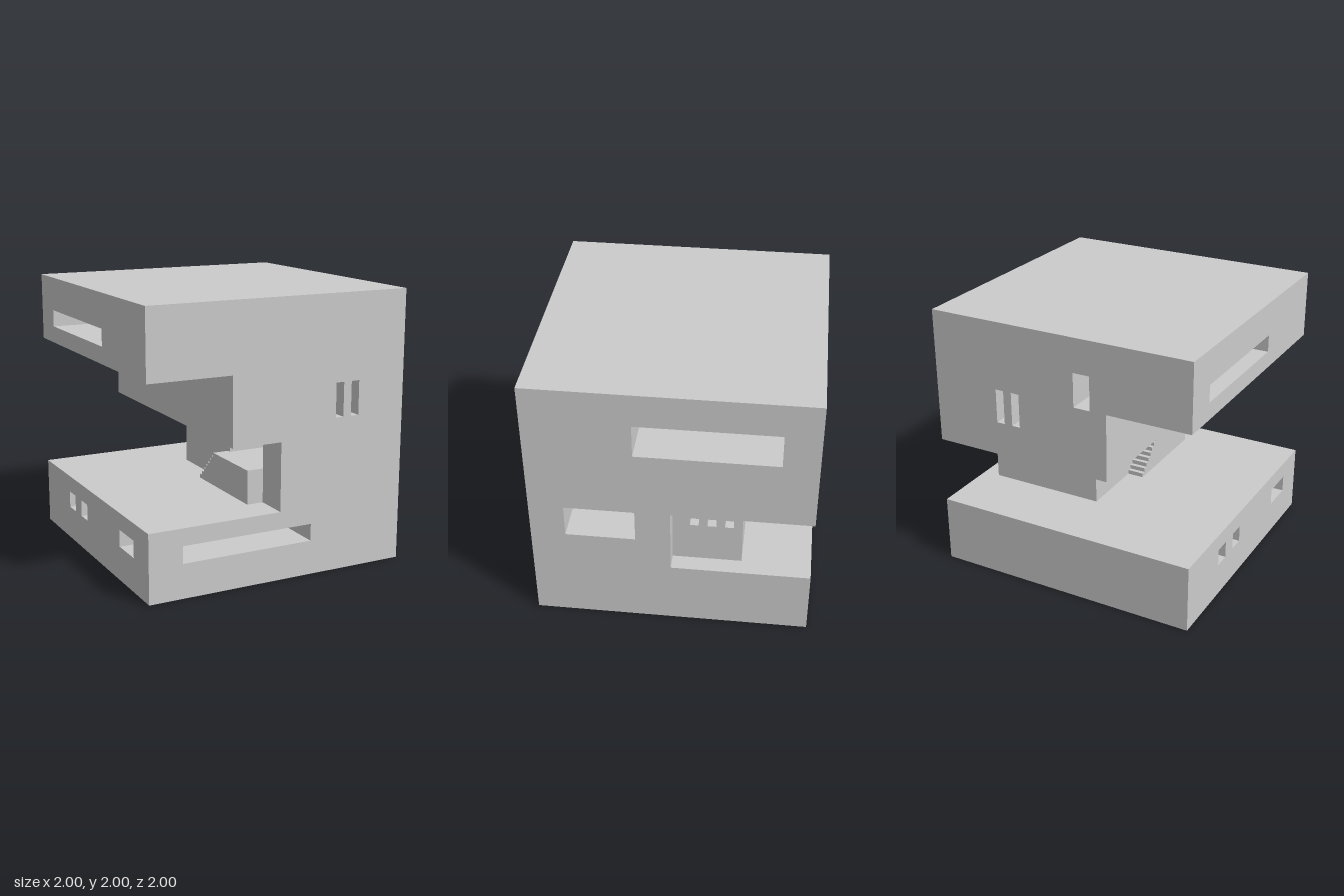
import * as THREE from 'three';

// Boxes are [x0, x1, y0, y1, z0, z1].
const parts = {
  groundFloor: [[-1, 1, 0, 0.5, -1, 1]],
  entranceCore: [[0, 1, 0.5, 1, 0, 1], [0, 0.875, 0.5, 1, -0.5, 0]],
  middleFloor: [[-0.375, 1, 1, 1.5, -1, 1]],
  upperFloor: [[-1, 1, 1.5, 2, -1, 1]],
};

const openings = [
  // ground floor: long front window, side windows
  [-0.75, 0.25, 0.25, 0.375, 0.5, 1],
  [-1, -0.75, 0.25, 0.375, 0.5, 0.75],
  [-1, -0.75, 0.25, 0.375, -0.25, -0.125],
  [-1, -0.75, 0.25, 0.375, -0.5, -0.375],
  // passage through the core, at the stair landing
  [0, 1, 0.75, 1, 0.25, 0.75],
  // row of small core windows
  ...[-0.1875, -0.3125, -0.4375].map((z) => [0.75, 0.875, 0.8125, 0.875, z, z + 0.0625]),
  // middle floor: slots in front and back
  ...[0.4375, 0.5625].map((x) => [x, x + 0.0625, 1.125, 1.375, 0.75, 1]),
  ...[0.3125, 0.4375].map((x) => [x, x + 0.0625, 1.25, 1.5, -1, -0.75]),
  // upper floor: open gallery, its raised far end and its back window
  [-0.375, 1, 1.5, 1.75, -0.75, 0.25],
  [-1, -0.375, 1.625, 1.75, -0.75, 0.25],
  [-0.25, -0.125, 1.5, 1.75, -1, -0.75],
];

const inside = (b, p) => p.every((v, a) => v > b[2 * a] && v < b[2 * a + 1]);

// Name of the part that fills a point, or null where it is open air
function partAt(p) {
  if (openings.some((b) => inside(b, p))) return null;
  return Object.keys(parts).find((name) => parts[name].some((b) => inside(b, p))) ?? null;
}

// Cut space along every box side and keep only the faces between solid and air
function carve() {
  const boxes = [...Object.values(parts).flat(), ...openings];
  const cuts = [0, 1, 2].map((a) =>
    [...new Set(boxes.flatMap((b) => [b[2 * a], b[2 * a + 1]]))].sort((m, n) => m - n));
  const mid = (a, i) => {
    const c = cuts[a];
    if (i < 0) return c[0] - 1;
    return i >= c.length - 1 ? c[c.length - 1] + 1 : (c[i] + c[i + 1]) / 2;
  };
  const faces = Object.fromEntries(Object.keys(parts).map((name) => [name, []]));

  for (let i = 0; i < cuts[0].length - 1; i++)
    for (let j = 0; j < cuts[1].length - 1; j++)
      for (let k = 0; k < cuts[2].length - 1; k++) {
        const cell = [i, j, k];
        const centre = cell.map((n, a) => mid(a, n));
        const name = partAt(centre);
        if (!name) continue;
        for (let a = 0; a < 3; a++)
          for (const side of [0, 1]) {
            const next = [...centre];
            next[a] = mid(a, cell[a] + (side ? 1 : -1));
            if (partAt(next)) continue;
            const u = (a + 1) % 3, v = (a + 2) % 3;
            const corner = (du, dv) => {
              const p = [];
              p[a] = cuts[a][cell[a] + side];
              p[u] = cuts[u][cell[u] + du];
              p[v] = cuts[v][cell[v] + dv];
              return p;
            };
            const q = [corner(0, 0), corner(1, 0), corner(1, 1), corner(0, 1)];
            if (!side) q.reverse();
            faces[name].push(...q[0], ...q[1], ...q[2], ...q[0], ...q[2], ...q[3]);
          }
      }
  return faces;
}

// Steps rising to a landing, as a side profile drawn in z and y
function stairGeometry(steps = 8) {
  const shape = new THREE.Shape();
  shape.moveTo(0, 0.5);
  for (let i = 0; i < steps; i++) {
    const y = 0.5 + ((i + 1) * 0.25) / steps;
    shape.lineTo((i * 0.25) / steps, y);
    shape.lineTo(((i + 1) * 0.25) / steps, y);
  }
  shape.lineTo(0.75, 0.75);
  shape.lineTo(0.75, 0.5);
  return new THREE.ExtrudeGeometry(shape, { depth: 0.125, bevelEnabled: false })
    .rotateY(-Math.PI / 2);
}

export function createModel() {
  const model = new THREE.Group();
  model.name = 'cubeHouse';
  const material = new THREE.MeshStandardMaterial({ color: 0xcccccc, flatShading: true });
  const add = (name, geometry) => {
    const mesh = new THREE.Mesh(geometry, material);
    mesh.name = name;
    model.add(mesh);
  };

  for (const [name, positions] of Object.entries(carve())) {
    const geometry = new THREE.BufferGeometry();
    geometry.setAttribute('position', new THREE.Float32BufferAttribute(positions, 3));
    geometry.computeVertexNormals();
    add(name, geometry);
  }
  add('outsideStair', stairGeometry());
  return model;
}
